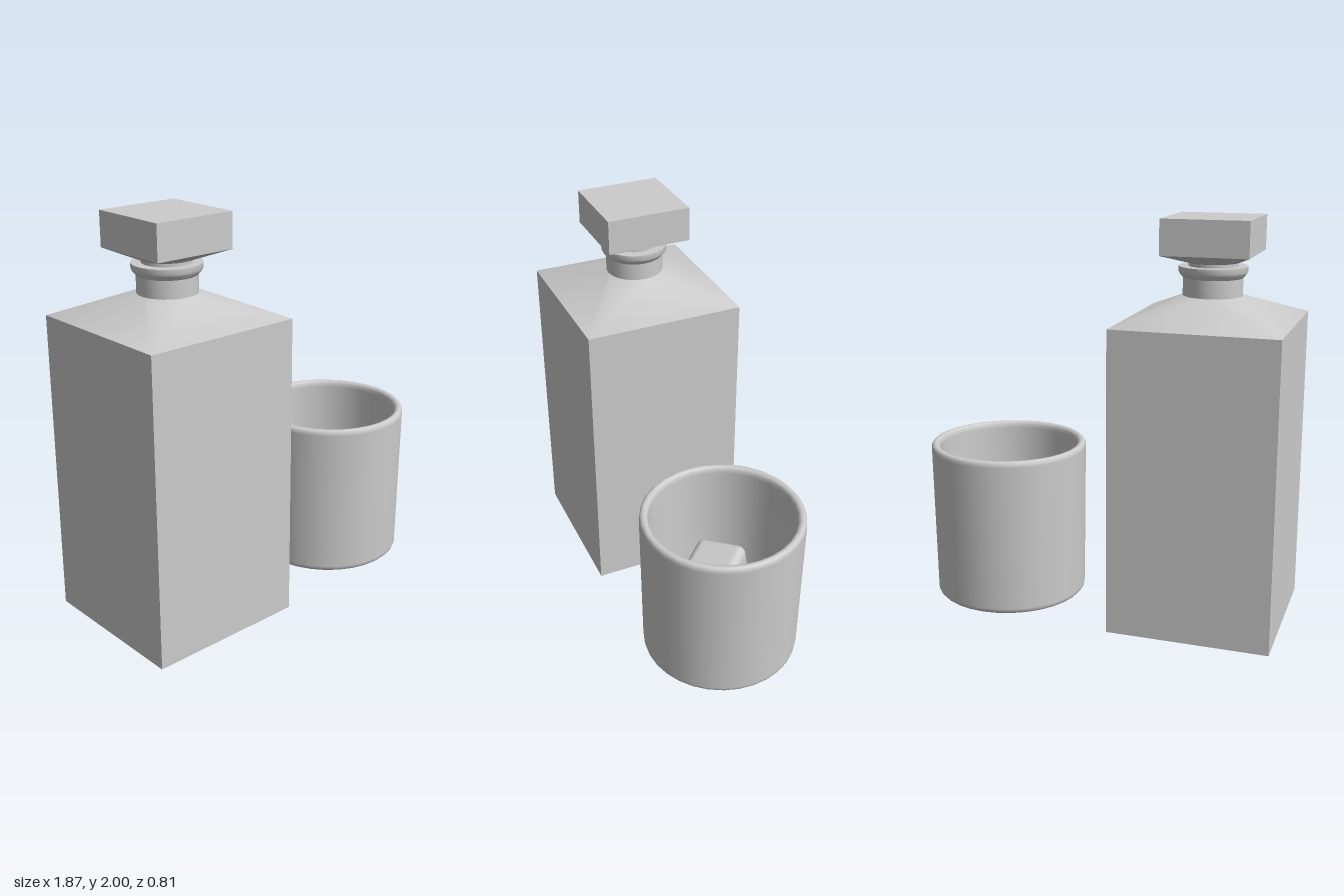
import * as THREE from 'three';
import { toCreasedNormals } from 'three/addons/utils/BufferGeometryUtils.js';
import { RoundedBoxGeometry } from 'three/addons/geometries/RoundedBoxGeometry.js';

const material = new THREE.MeshStandardMaterial({ color: 0xcccccc });

function addMesh(parent, name, geometry, x = 0, y = 0, z = 0) {
  const mesh = new THREE.Mesh(geometry, material);
  mesh.name = name;
  mesh.position.set(x, y, z);
  parent.add(mesh);
  return mesh;
}

function lathe(points, segments) {
  return new THREE.LatheGeometry(points.map(([r, y]) => new THREE.Vector2(r, y)), segments);
}

// Skin between a square (half width, height) and a circle (radius, height):
// each corner fans out to a quarter circle, with one flat triangle per side.
function squareToRound(half, ySquare, radius, yRound, perQuarter = 8) {
  const n = perQuarter * 4;
  const positions = [];
  const index = [];
  const outwards = yRound > ySquare;
  const face = (a, b, c) => index.push(...(outwards ? [a, b, c] : [a, c, b]));
  for (let i = 0; i < n; i++) {
    const a = (i / n) * Math.PI * 2;
    positions.push(radius * Math.cos(a), yRound, radius * Math.sin(a));
  }
  for (let q = 0; q < 4; q++) {
    const a = (q + 0.5) * Math.PI / 2;
    positions.push(half * Math.sign(Math.cos(a)), ySquare, half * Math.sign(Math.sin(a)));
  }
  for (let q = 0; q < 4; q++) {
    const corner = n + q;
    for (let i = q * perQuarter; i < (q + 1) * perQuarter; i++) face(corner, i, (i + 1) % n);
    face(n + ((q + 3) % 4), q * perQuarter, corner);
  }
  const geometry = new THREE.BufferGeometry();
  geometry.setAttribute('position', new THREE.Float32BufferAttribute(positions, 3));
  geometry.setIndex(index);
  geometry.computeVertexNormals();
  return geometry;
}

function createDecanter() {
  const decanter = new THREE.Group();
  decanter.name = 'decanter';

  // Square body and sloping shoulder
  addMesh(decanter, 'bottleBody', new THREE.BoxGeometry(0.803, 1.51, 0.803), 0, 0.755, 0);
  addMesh(decanter, 'bottleShoulder', squareToRound(0.4015, 1.51, 0.143, 1.63));

  // Round neck with a collar at the lip
  addMesh(decanter, 'bottleNeck', toCreasedNormals(lathe([
    [0.143, 1.6], [0.143, 1.715], [0.16, 1.735], [0.165, 1.745],
    [0.165, 1.77], [0.11, 1.77],
  ], 32), 0.5));

  // Stopper: round stem, flared underside, square head
  addMesh(decanter, 'stopperStem', new THREE.CylinderGeometry(0.118, 0.118, 0.05, 32, 1, true), 0, 1.765, 0);
  addMesh(decanter, 'stopperFlare', squareToRound(0.21, 1.83, 0.125, 1.787));
  addMesh(decanter, 'stopperHead', new THREE.BoxGeometry(0.42, 0.17, 0.42), 0, 1.915, 0);
  return decanter;
}

function createTumbler() {
  const tumbler = new THREE.Group();
  tumbler.name = 'tumbler';

  // Hollow glass with a recessed foot, rounded rim and thick floor
  addMesh(tumbler, 'glass', lathe([
    [0, 0.045], [0.2, 0.04], [0.29, 0.028], [0.32, 0.015], [0.345, 0.003],
    [0.365, 0], [0.383, 0.004], [0.392, 0.014], [0.395, 0.03], [0.404, 0.785],
    [0.402, 0.802], [0.394, 0.812], [0.382, 0.815], [0.37, 0.811],
    [0.362, 0.8], [0.36, 0.78], [0.352, 0.19], [0.335, 0.14], [0.29, 0.11],
    [0.2, 0.097], [0, 0.092],
  ], 32));

  // Two ice cubes lying at odd angles
  const cubes = [
    { position: [-0.168, 0.25, -0.058], rotation: [0.08, 0.76, 0.06] },
    { position: [0.118, 0.27, 0.055], rotation: [0.2, -0.42, -0.35] },
  ];
  for (const { position, rotation } of cubes) {
    const cube = addMesh(tumbler, 'iceCube', new RoundedBoxGeometry(0.27, 0.27, 0.27, 4, 0.045), ...position);
    cube.rotation.set(...rotation);
  }
  return tumbler;
}

export function createModel() {
  const model = new THREE.Group();
  model.name = 'decanterAndTumbler';
  const decanter = createDecanter();
  decanter.position.set(-0.54, 0, 0.004);
  const tumbler = createTumbler();
  tumbler.position.set(0.529, 0, 0);
  model.add(decanter, tumbler);

  return model;
}
